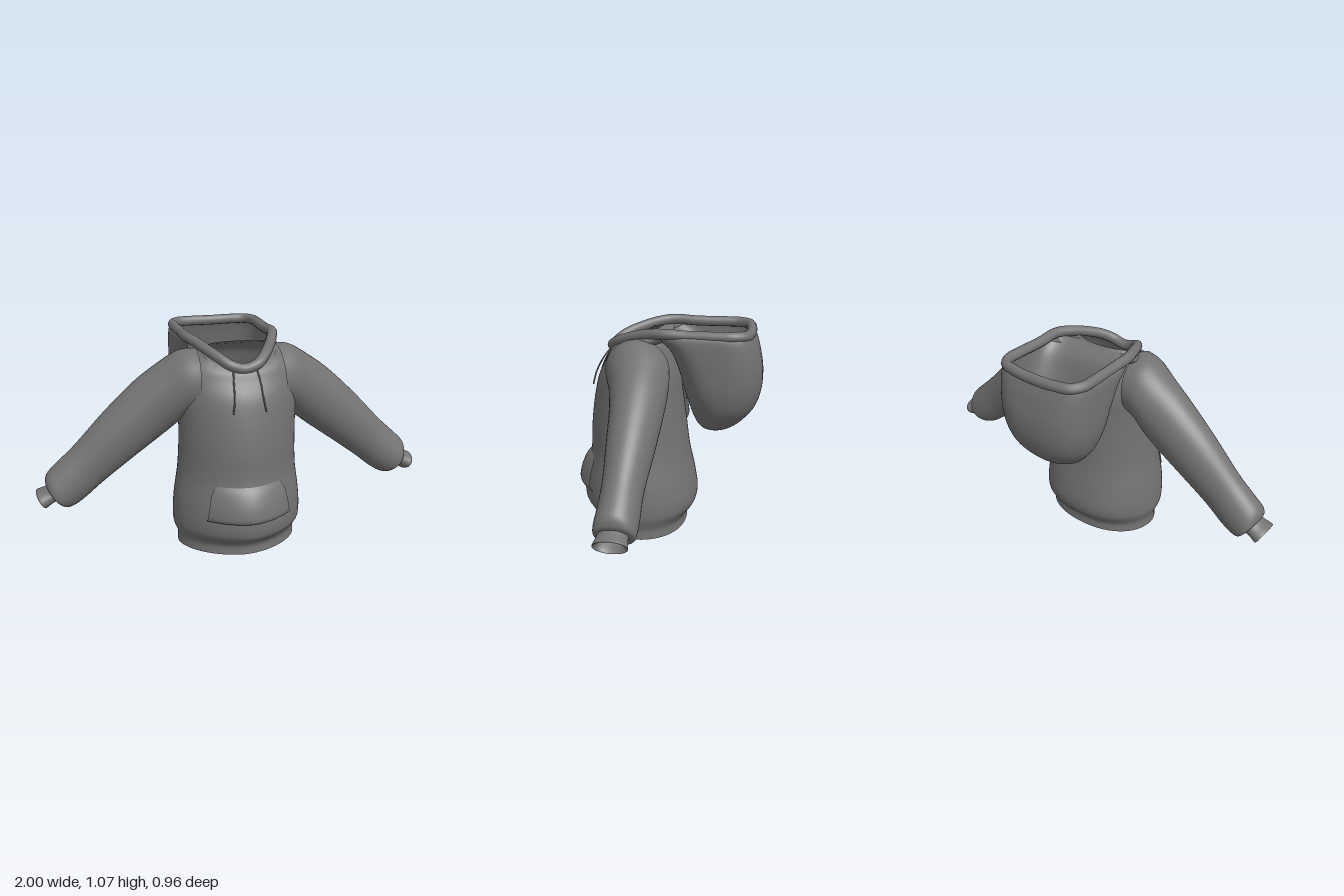
import * as THREE from 'three';

const material = new THREE.MeshStandardMaterial({ color: 0x737373, side: THREE.DoubleSide });
const V = (x, y, z) => new THREE.Vector3(x, y, z);
const range = (n, f) => Array.from({ length: n + 1 }, (_, i) => f(i / n));
const power = (v, e) => Math.sign(v) * Math.abs(v) ** e;

// Smooth lookup in a table of rows; the first column is the key
function table(rows) {
  const f = new THREE.CubicInterpolant(rows.map(r => r[0]), rows.flatMap(r => r.slice(1)), rows[0].length - 1);
  return t => Array.from(f.evaluate(t));
}

function mesh(name, geo) {
  const m = new THREE.Mesh(geo, material);
  m.name = name;
  return m;
}

// Skin over a list of point rows, smooth shaded
function loft(name, rows, closed = true) {
  const n = rows[0].length, index = [];
  for (let i = 0; i < rows.length - 1; i++) {
    for (let j = 0; j < (closed ? n : n - 1); j++) {
      const a = i * n + j, b = i * n + (j + 1) % n;
      index.push(a, b, a + n, b, b + n, a + n);
    }
  }
  const geo = new THREE.BufferGeometry();
  geo.setAttribute('position', new THREE.Float32BufferAttribute(rows.flat().flatMap(p => p.toArray()), 3));
  geo.setIndex(index);
  geo.computeVertexNormals();
  return mesh(name, geo);
}

// Ring of points from a function of the angle
const ring = (n, point) => Array.from({ length: n }, (_, i) => point(i / n * Math.PI * 2));

// Point on a horizontal superellipse whose front can dip
function outline(a, y, [hw, back, front, nBack, nFront, drop]) {
  const c = Math.cos(a), e = 2 / (c > 0 ? nFront : nBack);
  return V(hw * power(Math.sin(a), e),
    y - drop * ((1 + c) / 2) ** 2,
    (front + back) / 2 + (front - back) / 2 * power(c, e));
}

// Height, half width, back z, front z, back and front squareness, front dip
const torso = table([
  [0, .31, -.095, .375, 2.2, 1.75, 0],
  [.05, .31, -.095, .375, 2.2, 1.75, 0],
  [.075, .318, -.112, .397, 2.2, 1.72, 0],
  [.11, .33, -.14, .437, 2.2, 1.7, 0],
  [.16, .332, -.152, .452, 2.2, 1.7, 0],
  [.25, .326, -.142, .445, 2.2, 1.7, 0],
  [.4, .305, -.11, .412, 2.2, 1.72, 0],
  [.55, .296, -.09, .402, 2.2, 1.78, 0],
  [.7, .296, -.07, .38, 2.2, 1.85, 0],
  [.8, .3, -.055, .355, 2.2, 1.9, 0],
  [.9, .285, -.02, .315, 2.2, 2, .02],
  [.97, .245, .01, .295, 2.2, 2.1, .05],
  [1.02, .18, .06, .28, 2.2, 2.2, .09],
]);

// Step, height, then the same columns as the torso
const hood = table([
  [0, .52, .002, -.242, -.238, 2, 2, 0],
  [1, .526, .07, -.295, -.188, 2, 2, 0],
  [2, .548, .125, -.345, -.157, 2, 2, 0],
  [3, .59, .17, -.395, -.134, 2.1, 2.1, 0],
  [4, .66, .217, -.448, -.11, 2.3, 2.3, 0],
  [5, .75, .245, -.475, -.085, 2.5, 2.6, 0],
  [6, .85, .254, -.477, -.06, 2.8, 3, 0],
  [7, .95, .256, -.457, -.02, 3.4, 3.6, 0],
  [8, 1.01, .254, -.437, .035, 4, 4, .01],
  [9, 1.042, .244, -.422, .07, 4.2, 4.2, .03],
]);

// Step, upper point x, y, lower point x, y, back z, front z
const sleeve = table([
  [0, .2, 1.01, .22, .7, -.035, .285],
  [1, .28, 1, .27, .675, -.043, .262],
  [2, .38, .94, .315, .63, -.045, .235],
  [3, .5, .853, .4, .562, -.038, .212],
  [4, .65, .715, .53, .468, -.022, .197],
  [5, .8, .56, .67, .365, -.002, .184],
  [6, .895, .473, .77, .285, -.002, .187],
  [7, .943, .425, .83, .251, 0, .19],
  [8, .954, .385, .865, .253, .005, .185],
  [9, .945, .36, .893, .28, .03, .165],
]);
const cuff = table([
  [0, .94, .365, .885, .285, .03, .165],
  [1, .965, .353, .912, .285, .03, .166],
  [2, .998, .342, .95, .262, .022, .174],
  [3, 1, .335, .956, .262, .025, .171],
  [4, .98, .335, .94, .275, .04, .156],
  [5, .93, .36, .89, .3, .045, .15],
]);

function armRing([tx, ty, bx, by, back, front]) {
  return ring(40, a => {
    const c = Math.cos(a) / 2, s = Math.sin(a) / 2;
    return V((tx + bx) / 2 + (tx - bx) * c, (ty + by) / 2 + (ty - by) * c,
      (back + front) / 2 + (front - back) * s);
  });
}

function torsoFront(x, y) {
  const [hw, back, front, , n] = torso(y);
  return (front + back) / 2 + (front - back) / 2 * (1 - Math.abs(x / hw) ** n) ** (1 / n);
}

export function createModel() {
  const model = new THREE.Group();
  model.name = 'hoodedSweatshirt';

  // Body and hanging hood
  model.add(loft('body', range(80, t => ring(72, a => outline(a, t * 1.02, torso(t * 1.02))))));
  model.add(loft('hood', range(54, t => {
    const [y, ...row] = hood(t * 9);
    return ring(72, a => outline(a, y, row));
  })));

  // Padded edge running round the hood and neck
  const half = [[.065, .955, .275], [.11, .983, .235], [.155, 1.01, .165], [.195, 1.033, .08], [.222, 1.042, 0],
    [.222, 1.036, -.12], [.226, 1.035, -.27], [.222, 1.035, -.34], [.19, 1.034, -.39], [.11, 1.032, -.41]];
  const points = [V(0, .937, .28), ...half.map(p => V(...p)), V(0, 1.03, -.415),
    ...half.slice().reverse().map(([x, y, z]) => V(-x, y, z))];
  const rim = new THREE.CatmullRomCurve3(points, true);
  model.add(mesh('hoodRim', new THREE.TubeGeometry(rim, 140, .026, 12, true)));

  // Collar joining the front of the rim to the shoulders
  const neckRow = torso(.975);
  model.add(loft('collar', range(6, v => range(60, t => {
    const s = t - .5;
    const top = rim.getPointAt((s * .5 + 1) % 1);
    return outline(s * Math.PI * 1.5, .975, neckRow).lerp(top, v);
  })), false));

  // Front pocket, open at both sides
  const puff = table([[0, .001], [.03, .018], [.1, .03], [.3, .034], [.7, .026], [.88, .015], [1, .001]]);
  model.add(loft('pocket', range(30, v => range(36, t => {
    const u = t * 2 - 1, y = .205 + .178 * v;
    const x = u * (.212 - .03 * v - .03 * v ** 8);
    return V(x, y, torsoFront(x, y) + puff(v)[0] * (1 - .3 * u * u));
  })), false));

  // Sleeves, cuffs and drawstrings
  const side = new THREE.Group();
  side.name = 'leftSide';
  side.add(loft('sleeve', range(54, t => armRing(sleeve(t * 9)))));
  side.add(loft('cuff', range(25, t => armRing(cuff(t * 5)))));
  const cord = new THREE.CatmullRomCurve3([V(.055, .95, .275), V(.065, .88, .328), V(.07, .81, .363), V(.08, .75, .378)]);
  side.add(mesh('drawstring', new THREE.TubeGeometry(cord, 24, .004, 8)));
  const tip = mesh('drawstringTip', new THREE.SphereGeometry(.004, 8, 6));
  tip.position.set(.08, .75, .378);
  side.add(tip);
  const mirrored = side.clone();
  mirrored.name = 'rightSide';
  mirrored.scale.x = -1;
  model.add(side, mirrored);

  return model;
}
